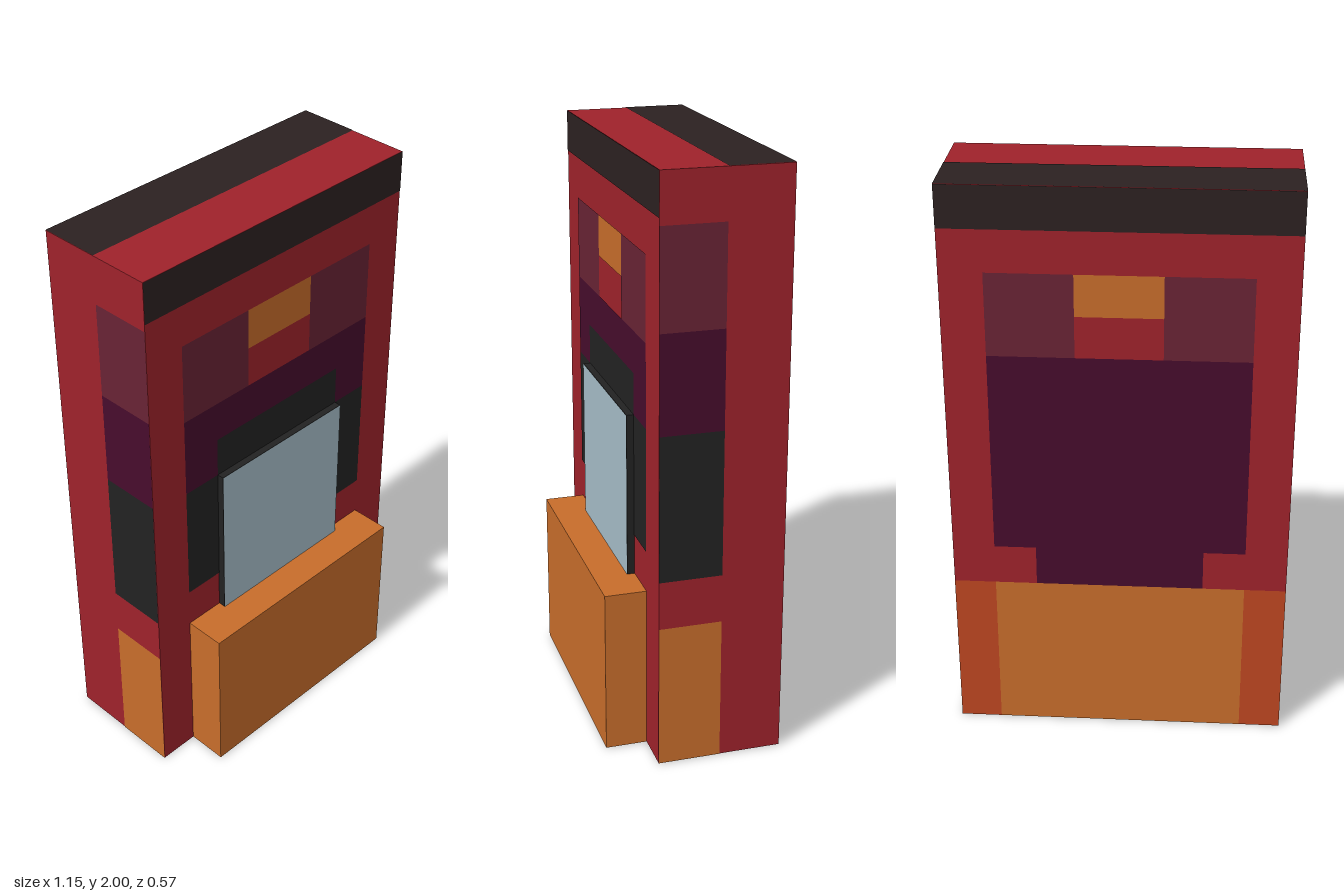
import * as THREE from 'three';

const U = 1 / 7; // layout unit: the cabinet is 8 x 14 x 3 units
const LIFT = 0.0015; // painted panels sit just off the surface

const mat = (name, color) => {
  const m = new THREE.MeshStandardMaterial({ color });
  m.name = name;
  return m;
};

export function createModel() {
  const red = mat('red', 0x9f222b);
  const trim = mat('dark brown trim', 0x2c2121);
  const black = mat('black', 0x222222);
  const mauve = mat('mauve', 0x692335);
  const purple = mat('dark purple', 0x470c2c);
  const orange = mat('orange', 0xc86d2b);
  const rust = mat('rust', 0xbe4721);
  const blue = mat('pale blue', 0xa7bec9);

  const model = new THREE.Group();
  model.name = 'cabinet';

  // Solid box from its limits, in layout units
  const box = (name, material, x0, x1, y0, y1, z0, z1) => {
    const mesh = new THREE.Mesh(
      new THREE.BoxGeometry((x1 - x0) * U, (y1 - y0) * U, (z1 - z0) * U), material);
    mesh.position.set((x0 + x1) / 2 * U, (y0 + y1) / 2 * U, (z0 + z1) / 2 * U);
    mesh.name = name;
    model.add(mesh);
  };

  // Flat painted panel: a0..a1 across, b0..b1 up, at the given offset on one side
  const panel = (name, material, side, offset, a0, a1, b0, b1) => {
    const mesh = new THREE.Mesh(new THREE.PlaneGeometry((a1 - a0) * U, (b1 - b0) * U), material);
    const a = (a0 + a1) / 2 * U, b = (b0 + b1) / 2 * U, d = offset * U;
    if (side === 'front') mesh.position.set(a, b, d + LIFT);
    if (side === 'back') { mesh.position.set(a, b, d - LIFT); mesh.rotation.y = Math.PI; }
    if (side === 'left') { mesh.position.set(d + LIFT, b, a); mesh.rotation.y = Math.PI / 2; }
    if (side === 'right') { mesh.position.set(d - LIFT, b, a); mesh.rotation.y = -Math.PI / 2; }
    if (side === 'top') { mesh.position.set(a, d + LIFT, b); mesh.rotation.x = -Math.PI / 2; }
    if (side === 'bottom') { mesh.position.set(a, d - LIFT, b); mesh.rotation.x = Math.PI / 2; }
    mesh.name = name;
    model.add(mesh);
  };

  // Main volumes
  box('body', red, -4, 4, 0, 14, -2, 1);
  box('lowerBox', orange, -3, 3, 0, 4, 1, 2);
  box('screenFrame', black, -2, 2, 4, 8, 1, 1.18);
  panel('screen', blue, 'front', 1.18, -2, 2, 4, 8);

  // Bands shared by the front and back
  for (const [side, z] of [['front', 1], ['back', -2]]) {
    panel('topBand', trim, side, z, -4, 4, 13, 14);
    panel('emblemPlate', orange, side, z, -1, 1, 11, 12);
    for (const x of [-3, 1]) panel('upperPanel', mauve, side, z, x, x + 2, 10, 12);
  }

  // Front panels around the screen
  panel('screenSurround', black, 'front', 1, -3, 3, 5, 8);
  panel('screenHood', black, 'front', 1, -2, 2, 8, 9);
  panel('purplePanel', purple, 'front', 1, -2, 2, 9, 10);
  for (const x of [-3, 2]) panel('purplePanelSide', purple, 'front', 1, x, x + 1, 8, 10);

  // Back panels
  panel('backPanel', purple, 'back', -2, -3, 3, 5, 10);
  panel('backPanelFoot', purple, 'back', -2, -2, 2, 4, 5);
  panel('backBase', orange, 'back', -2, -3, 3, 0, 4);
  for (const x of [-4, 3]) panel('backBaseEdge', rust, 'back', -2, x, x + 1, 0, 4);

  // Side panels on the front half, spaced in twelfths of the height
  const step = 14 / 12;
  for (const [side, x] of [['left', 4], ['right', -4]]) {
    panel('sideUpper', mauve, side, x, -0.5, 1, 9 * step, 11 * step);
    panel('sidePurple', purple, side, x, -0.5, 1, 7 * step, 9 * step);
    panel('sideBlack', black, side, x, -0.5, 1, 4 * step, 7 * step);
    panel('sideBase', orange, side, x, -0.5, 1, 0, 3 * step);
  }

  // Dark rear half of the top and underside
  panel('roofRear', trim, 'top', 14, -4, 4, -2, -0.5);
  panel('undersideRear', trim, 'bottom', 0, -4, 4, -2, -0.5);

  return model;
}
